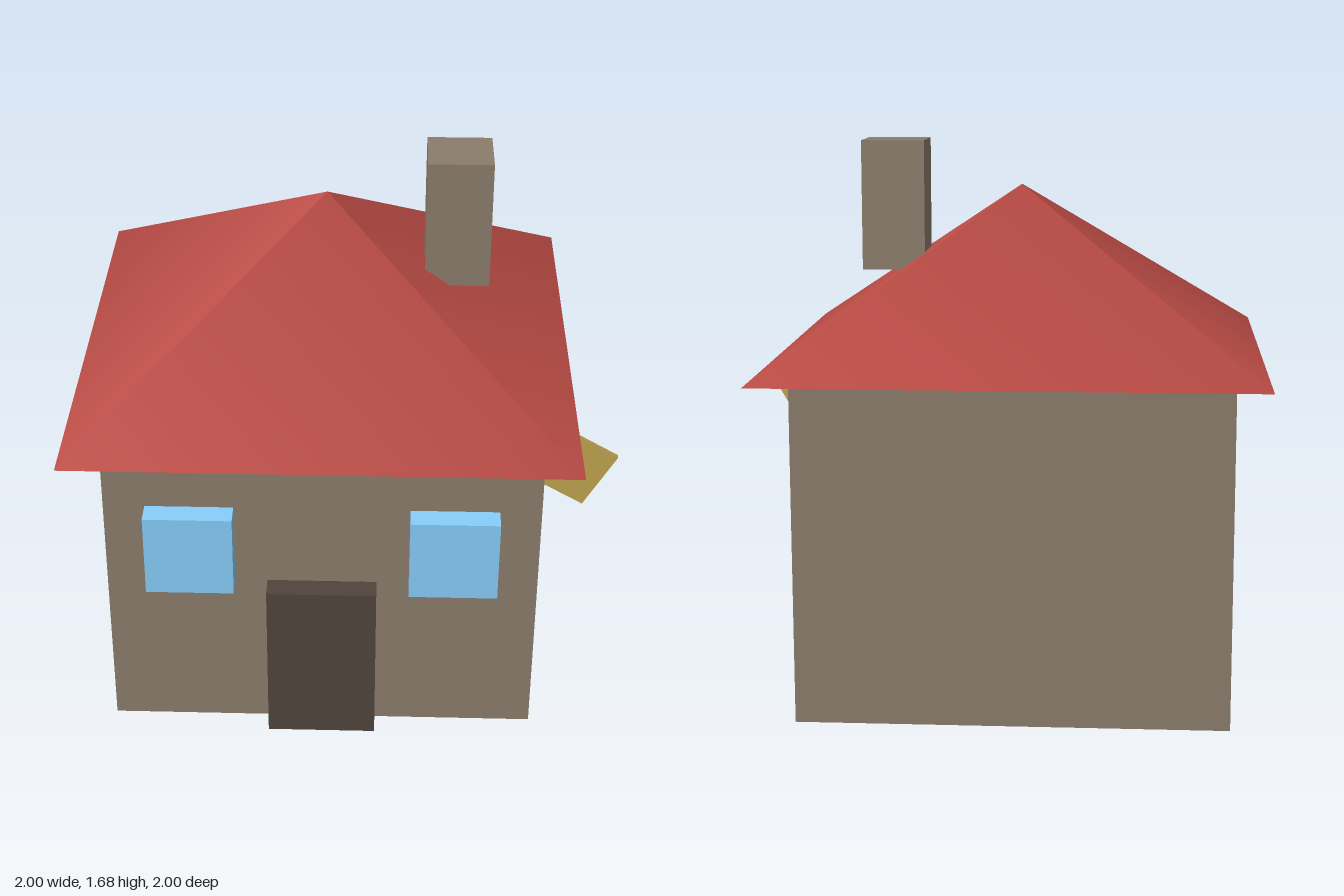
import * as THREE from 'three';

const paint = (color) => new THREE.MeshStandardMaterial({ color });
const stone = paint(0x8b7d6b);
const red = paint(0xb84a44);
const glass = paint(0x87cefa);
const darkWood = paint(0x50453c);
const gold = paint(0xc2a450);

function box(name, [w, h, d], [x, y, z], material) {
  const mesh = new THREE.Mesh(new THREE.BoxGeometry(w, h, d), material);
  mesh.name = name;
  mesh.position.set(x, y, z);
  return mesh;
}

export function createModel() {
  const model = new THREE.Group();
  model.name = 'cottage';

  // The whole house is turned on its plot
  const house = new THREE.Group();
  house.name = 'house';
  house.rotation.y = Math.PI / 6;
  model.add(house);

  const wallW = 1.28, wallH = 1.04, wallD = 1.04;
  house.add(box('walls', [wallW, wallH, wallD], [0, wallH / 2, 0], stone));

  // Four-sided roof with smooth shading
  const roofH = 0.51;
  const roof = new THREE.Mesh(new THREE.ConeGeometry(1.035, roofH, 4), red);
  roof.name = 'roof';
  roof.rotation.y = Math.PI / 4;
  roof.position.y = wallH + roofH / 2;
  house.add(roof);

  house.add(box('chimney', [0.19, 0.39, 0.19], [0.385, 1.49, 0], stone));

  // Door and windows sit half sunk in the front wall
  const front = wallD / 2;
  house.add(box('door', [0.325, 0.52, 0.14], [0, 0.26, front], darkWood));
  for (const side of [-1, 1]) {
    const name = side > 0 ? 'leftWindow' : 'rightWindow';
    house.add(box(name, [0.26, 0.26, 0.14], [side * 0.388, 0.65, front], glass));
  }

  // Thin tilted sign board through the side wall
  const sign = box('signBoard', [0.4, 0.19, 0.015], [0.642, 0.91, 0.384], gold);
  sign.rotation.z = -Math.PI / 6;
  house.add(sign);

  return model;
}
